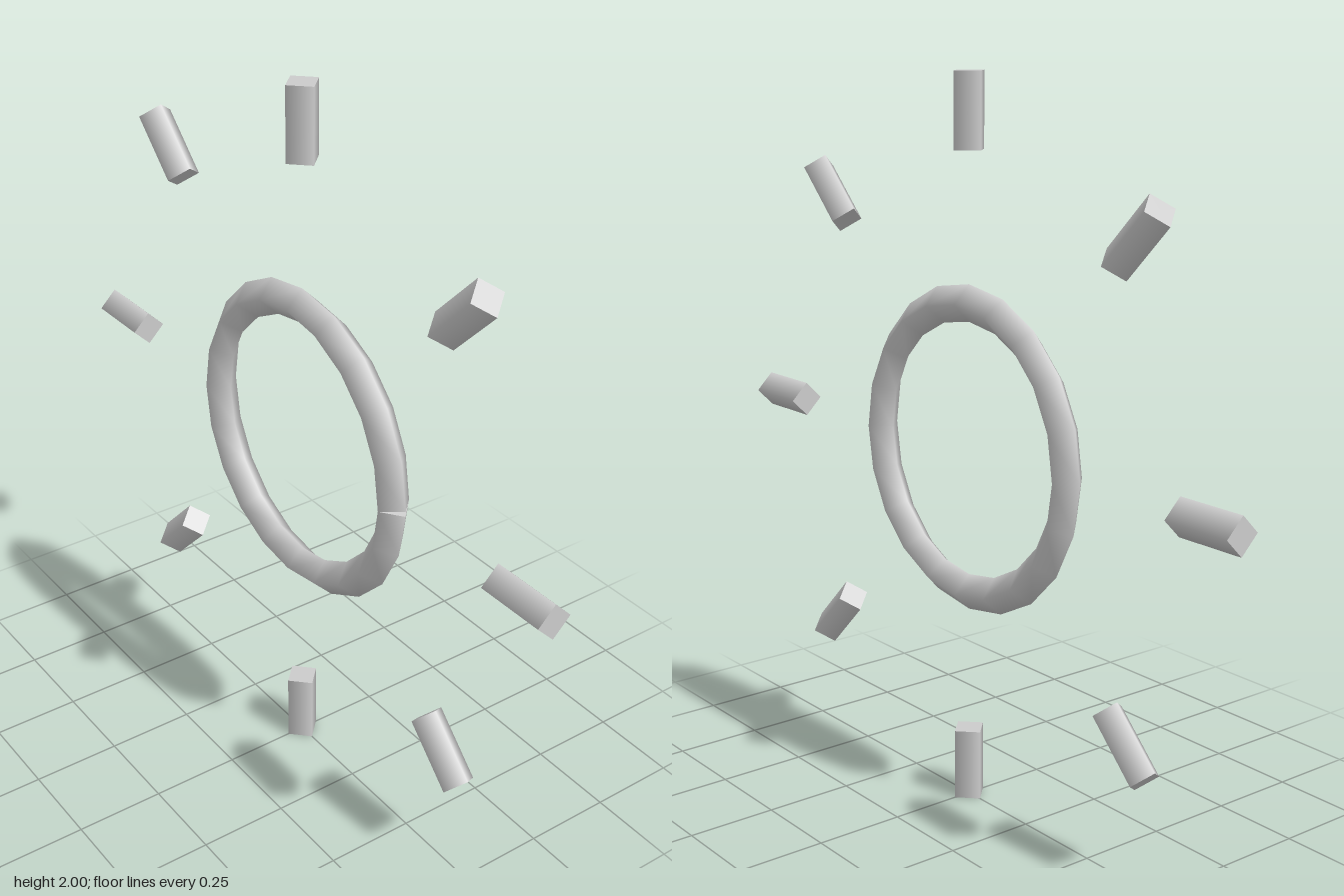
import * as THREE from 'three';

const RING = 0.4, TUBE = 0.05, STEPS = 20, RAYS = 8;

export function createModel() {
  const model = new THREE.Group();
  model.name = 'sun';
  const grey = new THREE.MeshStandardMaterial({ color: 0xcccccc });
  grey.name = 'grey';

  const add = (name, geometry, parent) => {
    const mesh = new THREE.Mesh(geometry, grey);
    mesh.name = name;
    parent.add(mesh);
    return mesh;
  };

  // Ring of diamond section, whose two ends meet at +x with a small notch
  const ring = new THREE.Group();
  ring.name = 'ring';
  ring.position.y = 1;
  model.add(ring);
  const tilt = Math.PI / STEPS;
  const body = new THREE.TorusGeometry(RING, TUBE, 4, STEPS);
  const pos = body.attributes.position;
  for (let i = 0; i < pos.count; i++) {
    const step = i % (STEPS + 1);
    if (step !== 0 && step !== STEPS) continue;
    const angle = step === 0 ? tilt : -tilt;
    const out = pos.getX(i) - RING;
    pos.setXY(i, RING + out * Math.cos(angle), out * Math.sin(angle));
  }
  add('ringBody', body, ring);

  // Caps closing the two ends of the ring
  for (const side of [1, -1]) {
    const cap = new THREE.CircleGeometry(TUBE, 4);
    cap.rotateX(side * Math.PI / 2).rotateZ(side * tilt).translate(RING, 0, 0);
    add('ringEnd', cap, ring);
  }

  // Rays: short four-sided bars pointing outwards
  const rayGeometry = new THREE.CylinderGeometry(TUBE, TUBE, 0.2, 4);
  for (let i = 0; i < RAYS; i++) {
    const angle = (i / RAYS) * Math.PI * 2;
    const ray = add('ray', rayGeometry, model);
    ray.position.set(0.9 * Math.cos(angle), 1 + 0.9 * Math.sin(angle), 0);
    ray.rotation.z = angle - Math.PI / 2;
  }
  return model;
}
